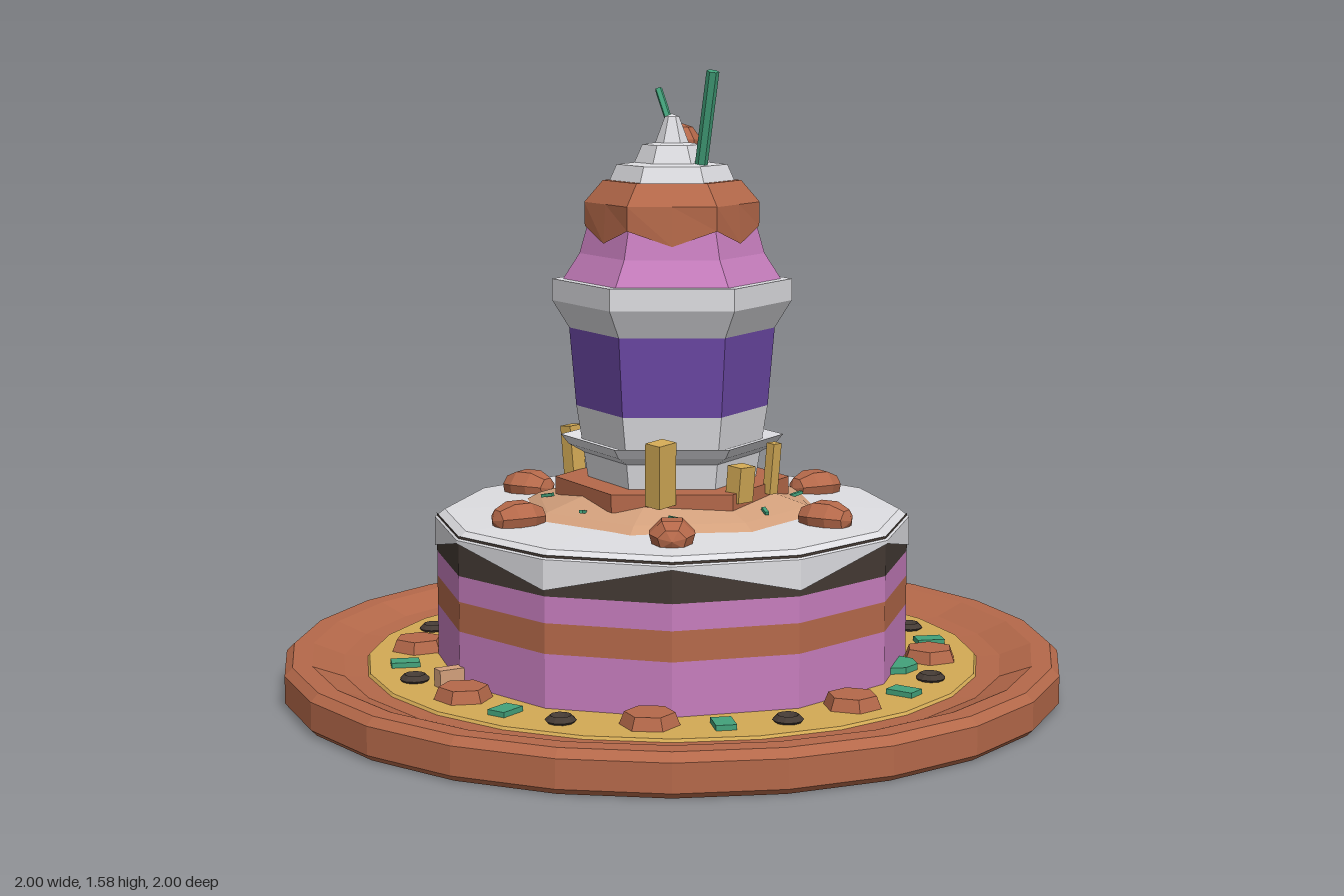
import * as THREE from 'three';

const mat = (name, color) => {
  const m = new THREE.MeshStandardMaterial({ color });
  m.name = name;
  return m;
};

export function createModel() {
  const brown = mat('caramel brown', 0xb5694a);
  const white = mat('cream white', 0xdedee2);
  const pink = mat('berry pink', 0xc67dbd);
  const purple = mat('cup purple', 0x6c48a6);
  const yellow = mat('biscuit yellow', 0xd3aa55);
  const tan = mat('peach tan', 0xd3a07c);
  const dark = mat('dark chocolate', 0x443a34);
  const green = mat('mint green', 0x43a27b);

  const root = new THREE.Group();
  root.name = 'layeredDessert';

  // Faceted mesh helper
  const add = (name, geo, material, x = 0, y = 0, z = 0, ry = 0) => {
    const g = geo.index ? geo.toNonIndexed() : geo;
    g.computeVertexNormals();
    const mesh = new THREE.Mesh(g, material);
    mesh.name = name;
    mesh.position.set(x, y, z);
    mesh.rotation.y = ry;
    root.add(mesh);
    return mesh;
  };

  // Turned part; profile runs from bottom to top, a corner lies on +z.
  // An optional list of heights makes the lowest edge jagged.
  const turned = (name, profile, sides, material, jag) => {
    const geo = new THREE.LatheGeometry(profile.map(p => new THREE.Vector2(...p)), sides);
    if (jag) {
      for (let i = 0; i <= sides; i++) geo.attributes.position.setY(i * profile.length, jag[i % jag.length]);
    }
    return add(name, geo, material);
  };

  // Straight stick between two points
  const stick = (name, a, b, r, sides, material) => {
    const p = new THREE.Vector3(...a), q = new THREE.Vector3(...b);
    const d = q.clone().sub(p);
    const m = add(name, new THREE.CylinderGeometry(r, r, d.length(), sides), material);
    m.position.copy(p).add(q).multiplyScalar(0.5);
    m.quaternion.setFromUnitVectors(new THREE.Vector3(0, 1, 0), d.normalize());
    return m;
  };

  // Plate with raised rim and biscuit floor
  turned('plate', [[0, 0], [0.985, 0], [1, 0.015], [1, 0.085], [0.98, 0.105], [0.93, 0.105],
    [0.85, 0.075], [0.79, 0.07], [0, 0.07]], 24, brown);
  turned('plateFloor', [[0.79, 0.07], [0.785, 0.077], [0, 0.077]], 24, yellow);

  // Cake layers
  const layers = [['lowerSponge', 0.07, 0.21, pink], ['fillingLayer', 0.21, 0.285, brown],
    ['upperSponge', 0.285, 0.35, pink], ['chocolateLayer', 0.35, 0.45, dark]];
  for (const [name, y0, y1, m] of layers) turned(name, [[0.606, y0], [0.606, y1]], 12, m);
  turned('icing', [[0.611, 0.37], [0.611, 0.44], [0.585, 0.46], [0.38, 0.468], [0, 0.468]], 12, white, [0.365, 0.432]);

  // Mound and hexagonal base under the cup
  turned('mound', [[0.4, 0.462], [0.36, 0.485], [0.22, 0.53], [0, 0.53]], 8, tan);
  turned('cupBase', [[0.3, 0.5], [0.3, 0.545], [0, 0.545]], 6, brown);

  // Hexagonal cup
  turned('cupFoot', [[0.215, 0.54], [0.245, 0.73]], 6, white);
  turned('cupBand', [[0.245, 0.73], [0.262, 0.93]], 6, purple);
  turned('cupRim', [[0.262, 0.93], [0.305, 1.0], [0.305, 1.055], [0.275, 1.055], [0.26, 1.04]], 6, white);
  turned('footRing', [[0.21, 0.6], [0.265, 0.63], [0.285, 0.655], [0.22, 0.64]], 6, white);

  // Ice cream, sauce and whipped cream
  turned('iceCream', [[0.28, 1.05], [0.235, 1.12], [0.215, 1.19], [0.21, 1.21]], 6, pink);
  const sauceProfile = [[0.221, 1.18], [0.222, 1.25], [0.175, 1.305], [0, 1.305]];
  const sauce = new THREE.LatheGeometry(sauceProfile.map(p => new THREE.Vector2(...p)), 12);
  const sp = sauce.attributes.position;
  for (let i = 0; i < sp.count; i++) {
    const seg = Math.floor(i / 4);
    const flat = seg % 2 ? Math.cos(Math.PI / 6) : 1; // flatten to six faces
    const low = i % 4 === 0;
    const grow = low && seg % 2 ? 1.035 : 1;
    sp.setXYZ(i, sp.getX(i) * flat * grow, low ? (seg % 2 ? 1.152 : 1.19) : sp.getY(i), sp.getZ(i) * flat * grow);
  }
  add('sauce', sauce, brown);
  turned('whippedCream', [[0.16, 1.3], [0.14, 1.345], [0.095, 1.35], [0.075, 1.395],
    [0.042, 1.4], [0.018, 1.465], [0, 1.472]], 6, white);

  // Cherry with stem, and straw
  add('cherry', new THREE.SphereGeometry(0.062, 7, 5), brown, 0.065, 1.385, -0.08);
  stick('cherryStem', [0.06, 1.42, -0.1], [0.055, 1.53, -0.165], 0.01, 5, green);
  stick('straw', [0.03, 1.33, 0.09], [0.027, 1.58, 0.155], 0.016, 6, green);

  // Wafer sticks beside the cup: x, z, top, width
  const wafers = [[-0.165, 0.23, 0.68, 0.06], [0.04, 0.27, 0.61, 0.055], [0.165, 0.22, 0.65, 0.03],
    [0.165, -0.22, 0.74, 0.06], [-0.04, -0.27, 0.61, 0.055], [-0.165, -0.23, 0.66, 0.045]];
  for (const [x, z, top, w] of wafers) {
    const m = add('waferStick', new THREE.BoxGeometry(w, top - 0.52, w * 0.8), yellow, x, (top + 0.52) / 2, z);
    m.rotation.set(Math.sign(z) * 0.08, 0.3, -Math.sign(x) * 0.05);
  }

  // Nuts around the top of the cake
  for (let i = 0; i < 6; i++) {
    const a = i * Math.PI / 3;
    const geo = new THREE.SphereGeometry(1, 7, 5).rotateZ(Math.PI / 2).scale(0.073, 0.048, 0.06);
    add('topNut', geo, brown, 0.44 * Math.cos(a), 0.478, -0.44 * Math.sin(a), a);
  }

  // Sprinkles on the mound
  for (let i = 0; i < 8; i++) {
    const a = i * Math.PI / 4 + 0.5;
    const m = add('moundSprinkle', new THREE.BoxGeometry(0.035, 0.008, 0.01), green,
      0.32 * Math.cos(a), 0.497, 0.32 * Math.sin(a), i * 1.3);
    m.rotation.z = 0.2;
  }

  // Repeating pattern on the plate: hexagon sweets, rings and sprinkles
  for (let i = 0; i < 8; i++) {
    const at = (deg, r) => {
      const a = (deg + 45 * i) * Math.PI / 180;
      return [r * Math.cos(a), r * Math.sin(a), -a];
    };
    let [x, z, ry] = at(-10.5, 0.665);
    add('hexSweet', new THREE.CylinderGeometry(0.06, 0.074, 0.035, 6), brown, x, 0.09, z, ry);
    [x, z, ry] = at(7, 0.695);
    add('sweetRing', new THREE.TorusGeometry(0.026, 0.012, 4, 10).rotateX(Math.PI / 2), dark, x, 0.083, z, ry);
    [x, z, ry] = at(20, 0.69);
    add('plateSprinkle', new THREE.BoxGeometry(0.05, 0.014, 0.072).rotateY(Math.PI / 2), green, x, 0.083, z, ry);
  }

  // Leaves tucked under the cake
  for (const [sx, sz] of [[1, 1], [1, -1], [-1, -1]]) {
    add('leaf', new THREE.CylinderGeometry(0.07, 0.07, 0.016, 8), green, sx * 0.405, 0.086, sz * 0.405);
  }

  // Small wafer tabs at both sides, and a nut piece on the cake wall
  for (const s of [-1, 1]) add('waferTab', new THREE.BoxGeometry(0.065, 0.05, 0.036), tan, s * 0.635, 0.097, 0);
  add('wallNut', new THREE.BoxGeometry(0.05, 0.07, 0.04), brown, 0.418, 0.215, -0.418, Math.PI / 4);

  return root;
}
